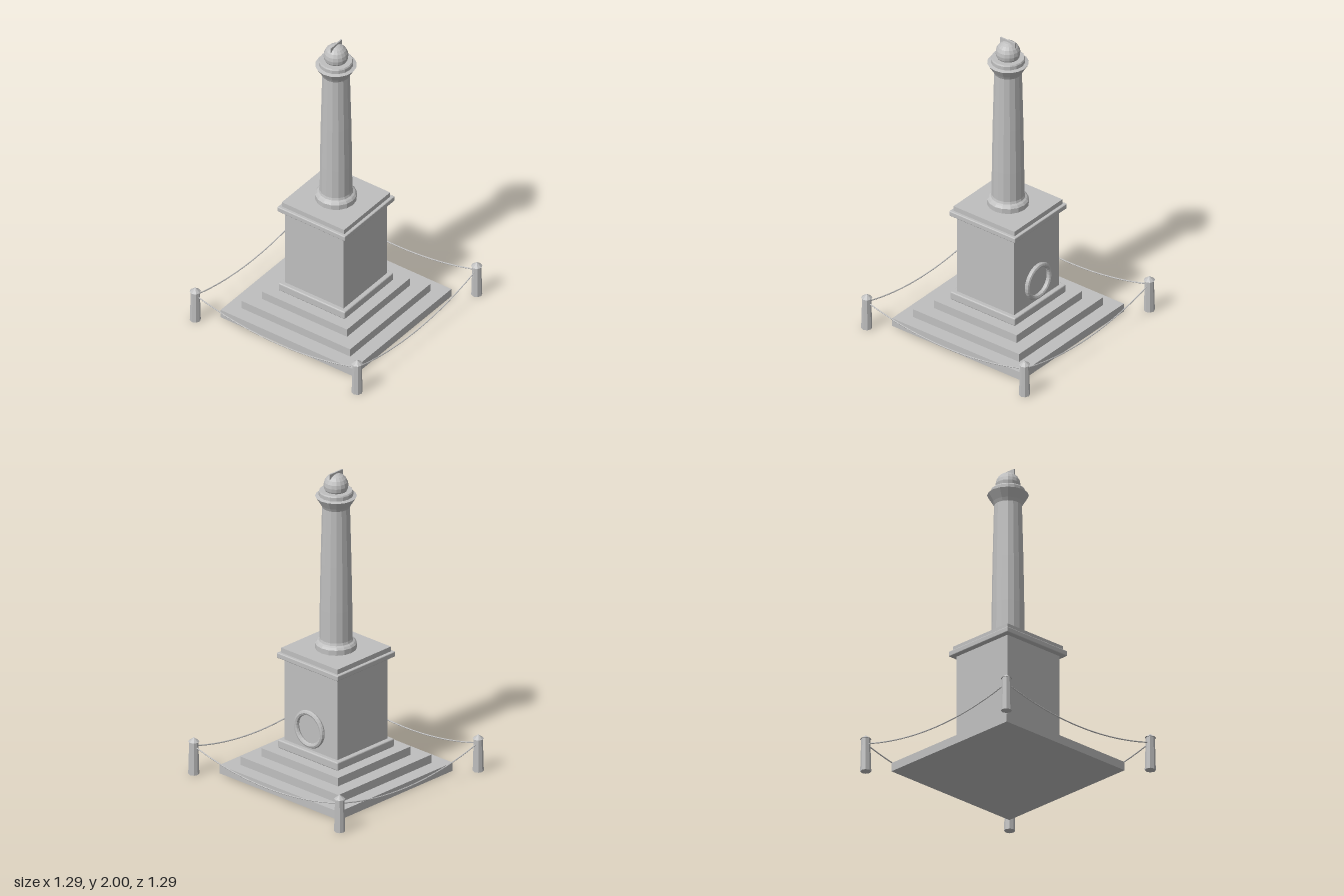
import * as THREE from 'three';
import { RoundedBoxGeometry } from 'three/addons/geometries/RoundedBoxGeometry.js';

export function createModel() {
  const model = new THREE.Group();
  model.name = 'monument';
  const stone = new THREE.MeshStandardMaterial({ color: 0xbfbfbf, flatShading: true });
  stone.name = 'grey stone';

  const add = (name, geometry, x = 0, y = 0, z = 0, parent = model) => {
    const mesh = new THREE.Mesh(geometry, stone);
    mesh.name = name;
    mesh.position.set(x, y, z);
    parent.add(mesh);
    return mesh;
  };
  // Square slab given by its half width and its bottom and top heights
  const slab = (name, half, y0, y1, bevel = 0) => {
    const w = half * 2, h = y1 - y0;
    const geometry = bevel ? new RoundedBoxGeometry(w, h, w, 2, bevel) : new THREE.BoxGeometry(w, h, w);
    add(name, geometry, 0, (y0 + y1) / 2, 0);
  };

  // Stepped base
  [0.5, 0.41, 0.32].forEach((half, i) => slab('step' + (i + 1), half, i * 0.055, (i + 1) * 0.055));

  // Pedestal
  slab('pedestalFoot', 0.25, 0.165, 0.22, 0.008);
  slab('pedestal', 0.22, 0.22, 0.765);
  slab('cornice', 0.255, 0.765, 0.8, 0.006);
  slab('corniceTop', 0.235, 0.8, 0.832);

  // Column with base mouldings, tapering shaft and flared capital
  const profile = [
    [0, 0.832], [0.128, 0.832], [0.128, 0.865], [0.117, 0.878], [0.105, 0.885], [0.1, 0.9],
    [0.099, 1.1], [0.094, 1.4], [0.085, 1.77], [0.095, 1.79], [0.127, 1.842],
    [0.105, 1.848], [0.105, 1.872], [0.1, 1.88], [0, 1.88],
  ].map(([r, y]) => new THREE.Vector2(r, y));
  add('column', new THREE.LatheGeometry(profile, 16));

  // Ball finial with a thin upright fin
  add('finialBall', new THREE.SphereGeometry(0.076, 16, 10), 0, 1.914, 0);
  add('finialFin', new THREE.BoxGeometry(0.009, 0.045, 0.114), 0, 1.9775, 0);

  // Wreath on the back of the pedestal
  add('wreath', new THREE.TorusGeometry(0.107, 0.016, 8, 28), 0, 0.363, -0.235);

  // Corner posts and the sagging ropes between them
  const reach = 0.61;
  const points = [];
  for (let i = 0; i <= 12; i++) {
    const t = i / 6 - 1;
    points.push(new THREE.Vector3(t * reach, 0.095 + 0.09 * t * t, 0));
  }
  const ropeGeometry = new THREE.TubeGeometry(new THREE.CatmullRomCurve3(points), 24, 0.004, 6);
  const postGeometry = new THREE.CylinderGeometry(0.028, 0.034, 0.215, 8);
  const capGeometry = new THREE.CylinderGeometry(0, 0.035, 0.027, 8);
  for (let i = 0; i < 4; i++) {
    const side = new THREE.Group();
    side.name = 'fenceSide' + (i + 1);
    side.rotation.y = i * Math.PI / 2;
    add('post', postGeometry, reach, 0.1075, reach, side);
    add('postCap', capGeometry, reach, 0.2285, reach, side);
    add('rope', ropeGeometry, 0, 0, reach, side);
    model.add(side);
  }
  return model;
}
